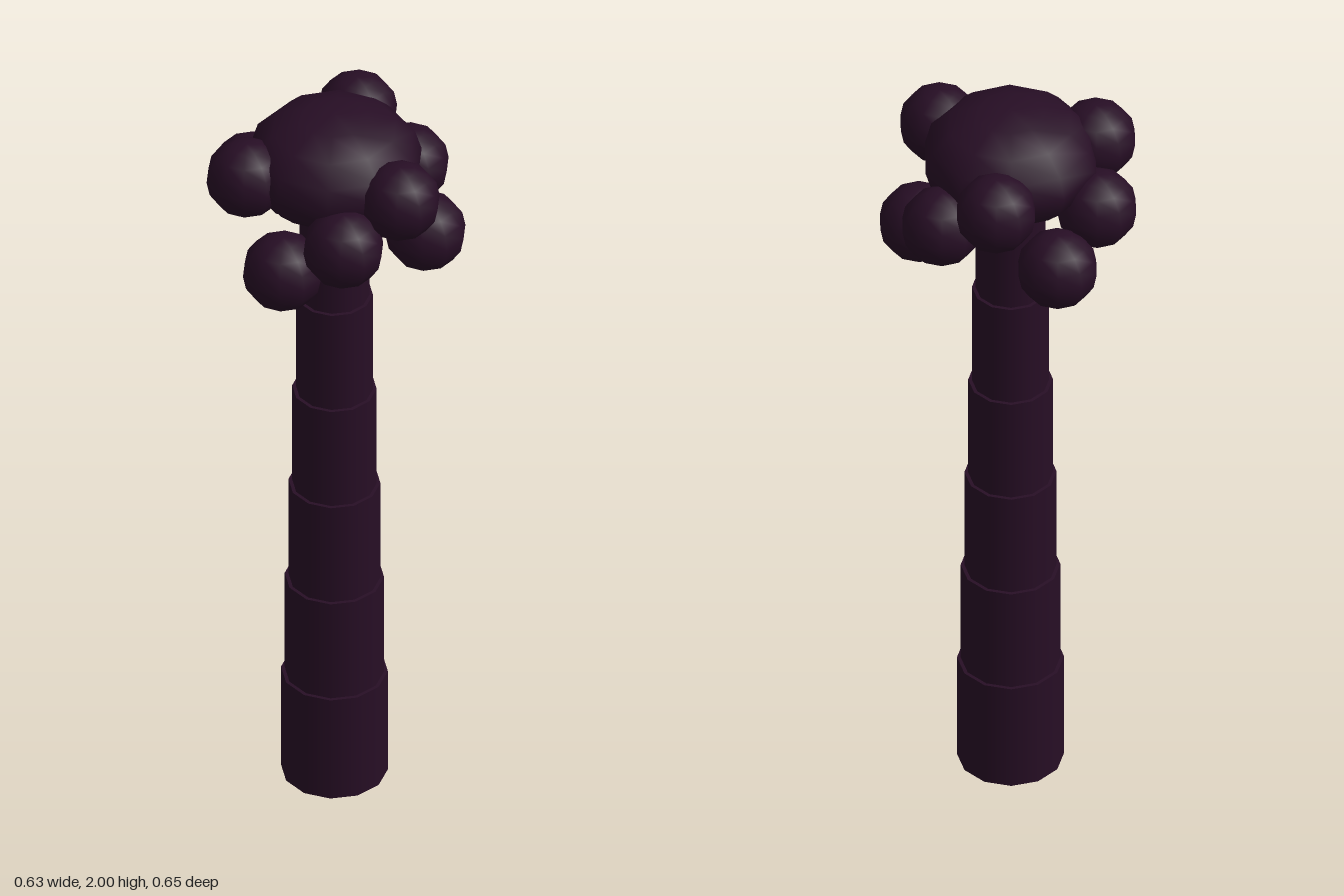
import * as THREE from 'three';

export function createModel() {
  const group = new THREE.Group();
  const darkPlum = new THREE.MeshStandardMaterial({ color: 0x270e25 });
  const axisX = -0.006;

  const add = (name, geometry, x, y, z) => {
    const mesh = new THREE.Mesh(geometry, darkPlum);
    mesh.name = name;
    mesh.position.set(x, y, z);
    group.add(mesh);
    return mesh;
  };

  // Stepped trunk: six slightly overlapping drums, each narrower than the one below
  for (let i = 0; i < 6; i++) {
    const r = 0.132 - i * 0.0092;
    add('trunkSegment' + (i + 1), new THREE.CylinderGeometry(r, r, 0.3, 12), axisX, 0.15 + i * 0.2875, 0);
  }

  // Flattened crown on top of the trunk
  const crown = new THREE.SphereGeometry(0.221, 10, 8).rotateY(Math.PI / 2);
  crown.scale(1, 0.145 / 0.221, 1);
  add('crown', crown, axisX, 1.855, 0);

  // Nine balls around the crown at three repeating heights
  const ball = new THREE.SphereGeometry(0.101, 10, 8).rotateY(Math.PI / 2);
  const heights = [1.655, 1.85, 1.753];
  for (let i = 0; i < 9; i++) {
    const a = (i / 9) * Math.PI * 2;
    add('crownBall' + (i + 1), ball, axisX + 0.225 * Math.cos(a), heights[i % 3], 0.225 * Math.sin(a));
  }

  return group;
}
